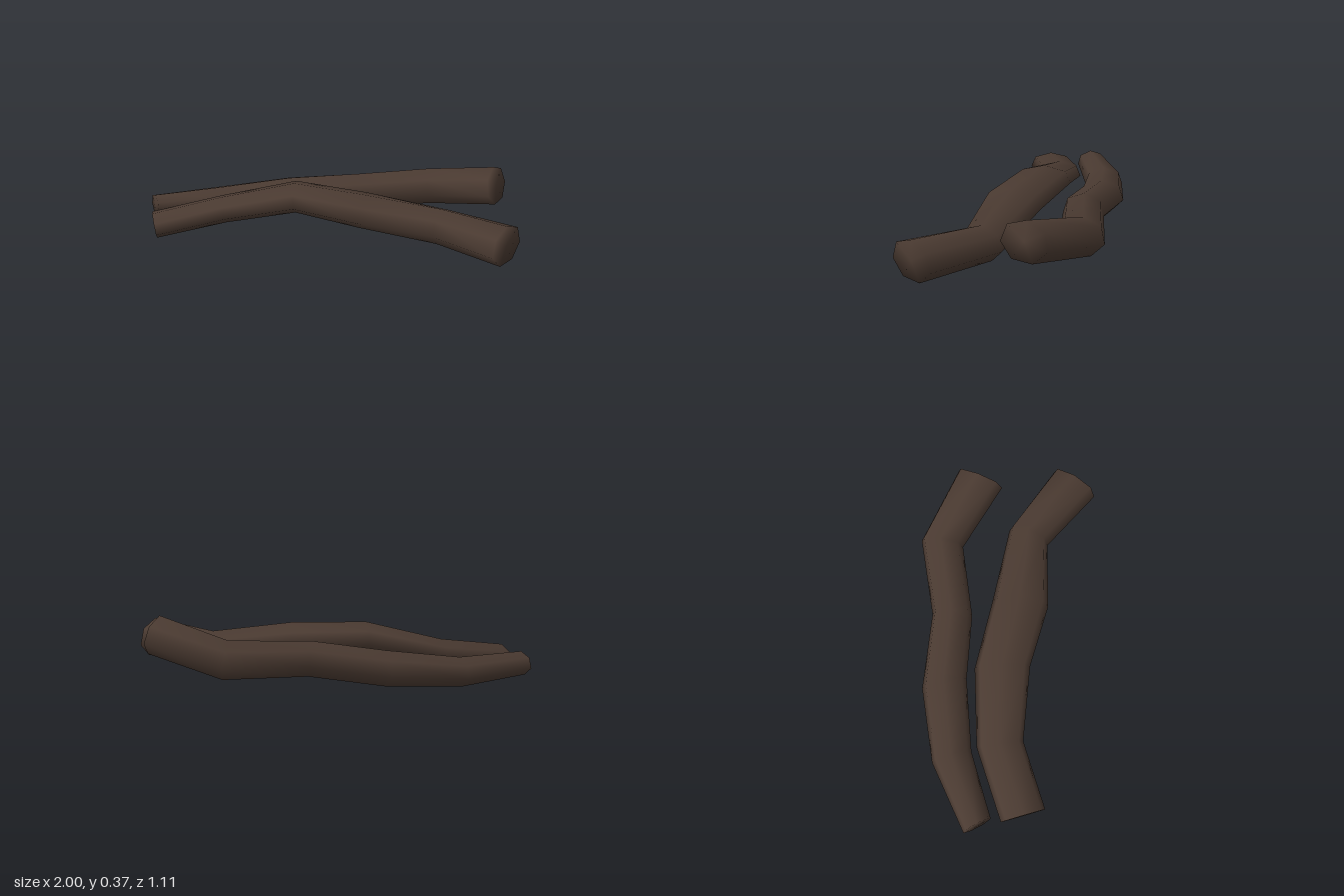
import * as THREE from 'three';

const SIDES = 7;

// Each station: [back edge x, z, front edge x, z, bottom y, top y]
const REAR = [
  [-1.0, -0.43, -0.945, -0.28, 0.02, 0.14],
  [-0.605, -0.55, -0.575, -0.335, 0.005, 0.15],
  [-0.2, -0.555, -0.18, -0.31, 0.03, 0.205],
  [0.2, -0.45, 0.16, -0.235, 0.08, 0.255],
  [0.64, -0.46, 0.57, -0.235, 0.09, 0.28],
  [0.995, -0.205, 0.86, 0.025, 0.18, 0.375],
];
const FRONT = [
  [-0.97, -0.23, -0.935, 0.01, 0.003, 0.125],
  [-0.57, -0.305, -0.57, -0.055, 0.06, 0.19],
  [-0.16, -0.26, -0.19, 0.035, 0.145, 0.29],
  [0.22, -0.115, 0.15, 0.185, 0.11, 0.275],
  [0.66, 0.04, 0.54, 0.24, 0.045, 0.225],
  [0.98, 0.34, 0.8, 0.55, 0.05, 0.25],
];

// Seven-sided tapering limb, closed and smoothly shaded, swept through the stations
function limbGeometry(stations) {
  const centres = stations.map(([bx, bz, fx, fz, y0, y1]) =>
    new THREE.Vector3((bx + fx) / 2, y0 + (y1 - y0) * 0.474, (bz + fz) / 2));
  const last = stations.length - 1;
  const pos = [];
  const index = [];

  stations.forEach(([bx, bz, fx, fz, y0, y1], i) => {
    const side = new THREE.Vector3(fx - bx, 0, fz - bz);
    const halfWidth = side.length() / 1.95;
    const halfHeight = (y1 - y0) / 1.9;
    side.normalize();
    const tangent = centres[Math.min(i + 1, last)].clone().sub(centres[Math.max(i - 1, 0)]);
    const up = side.clone().cross(tangent).normalize();
    for (let j = 0; j < SIDES; j++) {
      const a = Math.PI / 2 + (j / SIDES) * Math.PI * 2;
      const p = centres[i].clone()
        .addScaledVector(side, Math.cos(a) * halfWidth)
        .addScaledVector(up, Math.sin(a) * halfHeight);
      pos.push(p.x, p.y, p.z);
    }
  });

  // bark between neighbouring rings
  for (let i = 0; i < last; i++) {
    for (let j = 0; j < SIDES; j++) {
      const k = (j + 1) % SIDES;
      const a = i * SIDES + j, b = i * SIDES + k;
      const c = a + SIDES, d = b + SIDES;
      index.push(a, c, b, b, c, d);
    }
  }
  // end caps, sharing the rim so the shading rolls over the ends
  const startHub = pos.length / 3;
  pos.push(...centres[0].toArray(), ...centres[last].toArray());
  for (let j = 0; j < SIDES; j++) {
    const k = (j + 1) % SIDES;
    index.push(startHub, j, k);
    index.push(startHub + 1, last * SIDES + k, last * SIDES + j);
  }

  const geo = new THREE.BufferGeometry();
  geo.setAttribute('position', new THREE.Float32BufferAttribute(pos, 3));
  geo.setIndex(index);
  geo.computeVertexNormals();
  return geo;
}

export function createModel() {
  const group = new THREE.Group();
  group.name = 'branches';
  const bark = new THREE.MeshStandardMaterial({ color: 0x4a3a31 });
  bark.name = 'dark brown bark';

  for (const [name, stations] of [['rearBranch', REAR], ['frontBranch', FRONT]]) {
    const mesh = new THREE.Mesh(limbGeometry(stations), bark);
    mesh.name = name;
    group.add(mesh);
  }
  return group;
}
